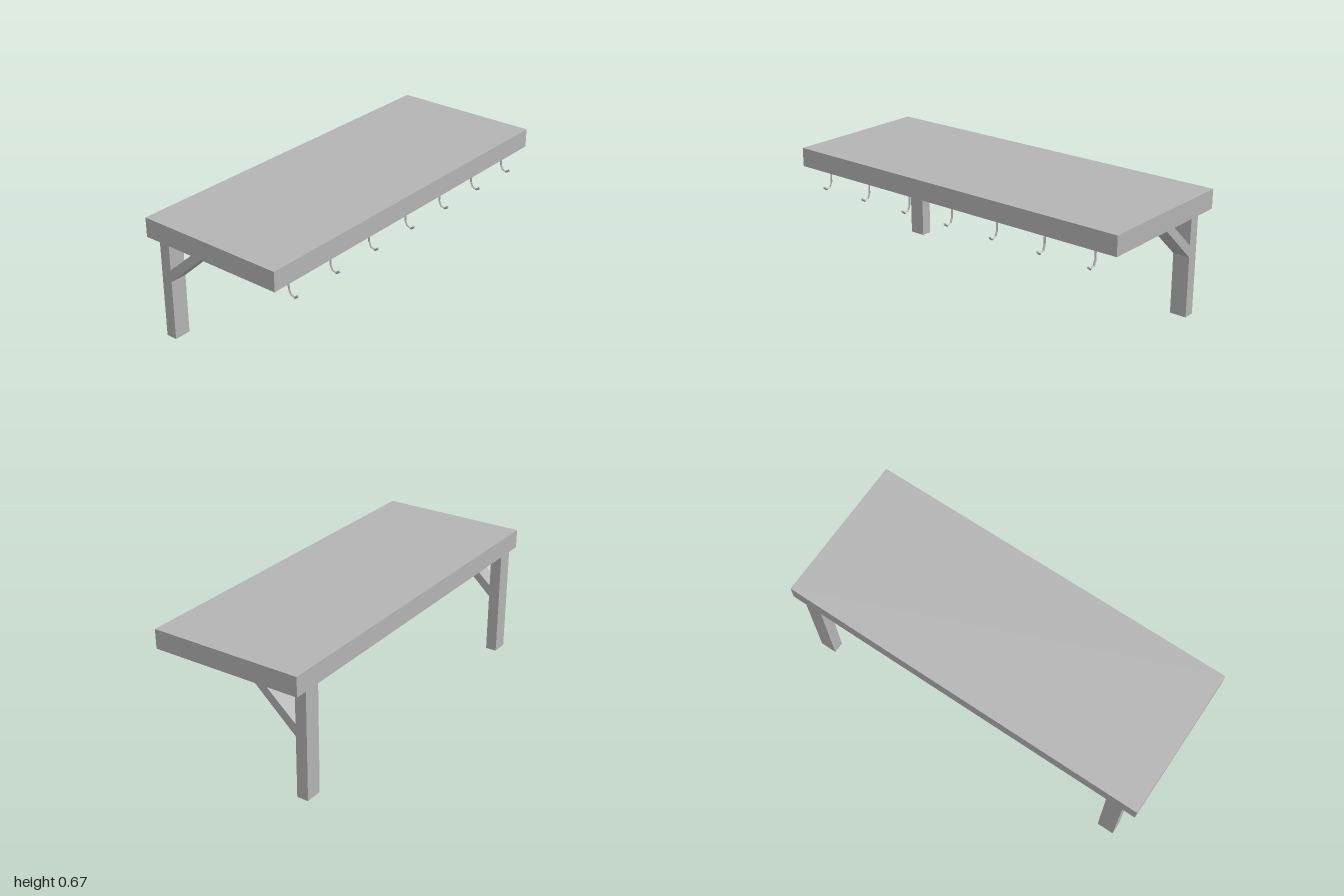
import * as THREE from 'three';

const TOP_Y = 0.67, UNDER_Y = 0.57;

// Bent rod that keeps its corners: straight runs between the given points
function bentPath(points) {
  const path = new THREE.Curve();
  const n = points.length - 1;
  path.getPoint = (t, target = new THREE.Vector3()) => {
    const i = Math.min(Math.floor(t * n + 1e-9), n - 1);
    return target.lerpVectors(points[i], points[i + 1], t * n - i);
  };
  path.getPointAt = path.getPoint;
  path.getTangentAt = path.getTangent;
  return path;
}

export function createModel() {
  const model = new THREE.Group();
  model.name = 'hookShelf';
  const grey = new THREE.MeshStandardMaterial({ color: 0xb4b4b4 });
  grey.name = 'grey';

  const add = (name, geometry, x = 0, y = 0, z = 0, parent = model) => {
    const mesh = new THREE.Mesh(geometry, grey);
    mesh.name = name;
    mesh.position.set(x, y, z);
    parent.add(mesh);
    return mesh;
  };

  // Thick shelf board
  add('shelfBoard', new THREE.BoxGeometry(2, TOP_Y - UNDER_Y, 0.8), 0, (TOP_Y + UNDER_Y) / 2, 0);

  // Wall posts with diagonal braces (profile drawn in -z, y)
  const postGeometry = new THREE.BoxGeometry(0.09, UNDER_Y, 0.06);
  const braceShape = new THREE.Shape([
    [0.06, UNDER_Y], [0.335, 0.32], [0.335, 0.383], [0.124, UNDER_Y],
  ].map(([a, b]) => new THREE.Vector2(a, b)));
  const braceGeometry = new THREE.ExtrudeGeometry(braceShape, { depth: 0.09, bevelEnabled: false });
  braceGeometry.rotateY(Math.PI / 2).translate(-0.045, 0, 0);
  for (const [side, x] of [['left', 0.885], ['right', -0.885]]) {
    add(side + 'Post', postGeometry, x, UNDER_Y / 2, -0.365);
    add(side + 'Brace', braceGeometry, x);
  }

  // Row of faceted hooks under the front edge
  const radius = 0.006;
  const points = [[UNDER_Y, 0.345], [0.501, 0.345], [0.475, 0.356], [0.467, 0.379], [0.482, 0.4]]
    .map(([y, z]) => new THREE.Vector3(0, y, z));
  const hookGeometry = new THREE.TubeGeometry(bentPath(points), 4, radius, 4).toNonIndexed();
  hookGeometry.computeVertexNormals();
  const tipGeometry = new THREE.CircleGeometry(radius, 4).rotateX(-Math.atan2(0.015, 0.021));
  for (let i = -3; i <= 3; i++) {
    const hook = new THREE.Group();
    hook.name = 'hook';
    hook.position.x = i * 0.2835;
    add('hookRod', hookGeometry, 0, 0, 0, hook);
    add('hookTip', tipGeometry, 0, 0.482, 0.4, hook);
    model.add(hook);
  }
  return model;
}
